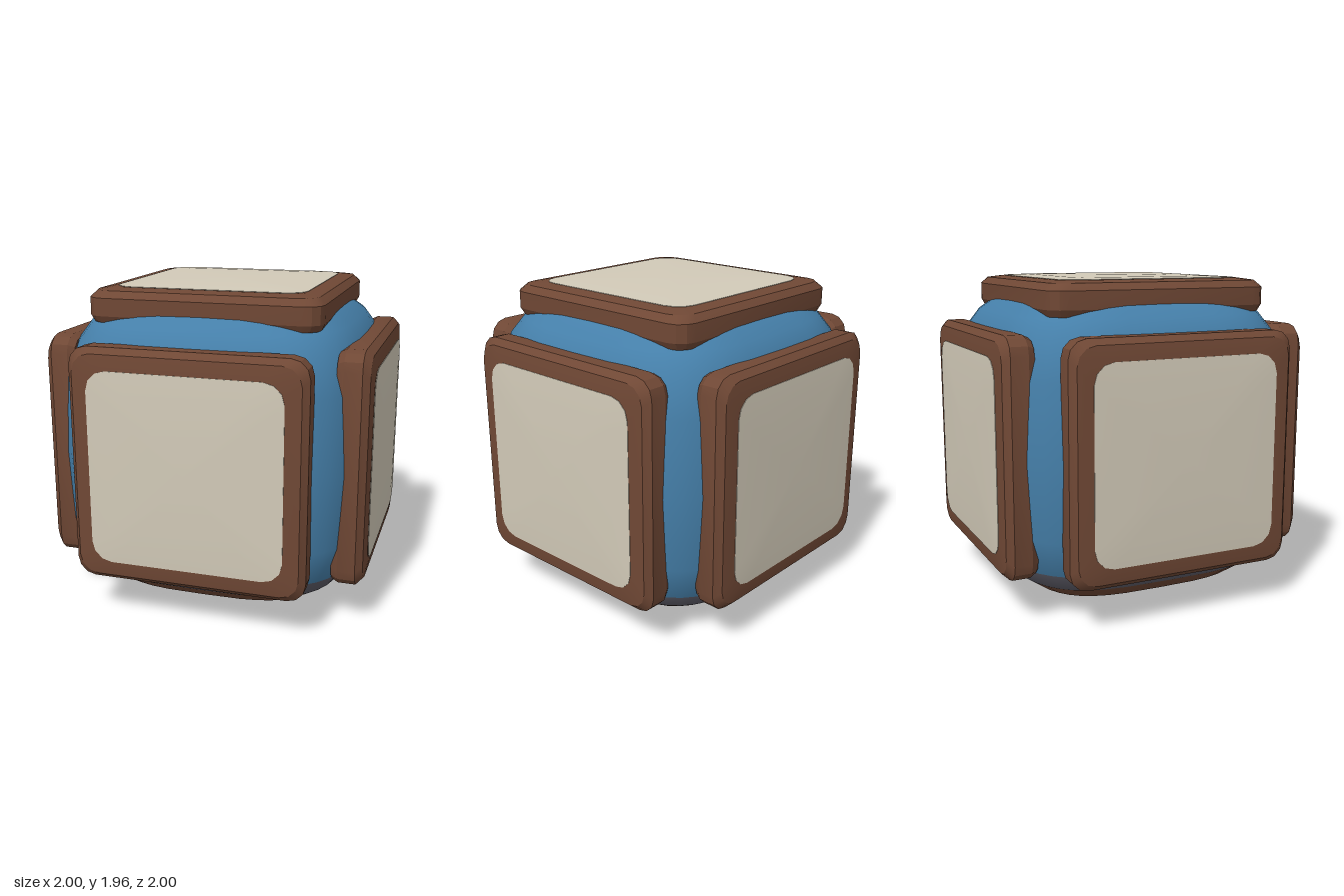
import * as THREE from 'three';
import { toCreasedNormals } from 'three/addons/utils/BufferGeometryUtils.js';

const CENTER = 0.96; // height of the cube's centre
const POWER = 3.5;   // squareness of the swollen core

// Closed skin through rings of [x, y] points stacked along z, with domed caps.
// rings: [{ points, z }], bottomZ / topZ: heights of the cap centres
function loft(rings, bottomZ, topZ) {
  const n = rings[0].points.length;
  const pos = [];
  const index = [];
  rings.forEach(r => r.points.forEach(([x, y]) => pos.push(x, y, r.z)));
  const bottom = pos.length / 3;
  pos.push(0, 0, bottomZ, 0, 0, topZ);
  for (let j = 0; j < n; j++) index.push(bottom, (j + 1) % n, j);
  for (let i = 0; i < rings.length - 1; i++) {
    for (let j = 0; j < n; j++) {
      const a = i * n + j, b = i * n + (j + 1) % n;
      index.push(a, b, b + n, a, b + n, a + n);
    }
  }
  const last = (rings.length - 1) * n;
  for (let j = 0; j < n; j++) index.push(last + j, last + (j + 1) % n, bottom + 1);
  const geo = new THREE.BufferGeometry();
  geo.setAttribute('position', new THREE.Float32BufferAttribute(pos, 3));
  geo.setIndex(index);
  geo.computeVertexNormals();
  return geo;
}

// Square outline with rounded corners, counter-clockwise
function roundedSquare(half, radius, steps = 3) {
  const points = [];
  for (let c = 0; c < 4; c++) {
    const mid = Math.PI / 4 + c * Math.PI / 2;
    const cx = Math.sign(Math.cos(mid)) * (half - radius);
    const cy = Math.sign(Math.sin(mid)) * (half - radius);
    for (let k = 0; k <= steps; k++) {
      const a = (c + k / steps) * Math.PI / 2;
      points.push([cx + radius * Math.cos(a), cy + radius * Math.sin(a)]);
    }
  }
  return points;
}

// Superellipse outline of the core at a given height
function coreRing(z, segments = 40) {
  const s = CENTER * Math.pow(1 - Math.pow(Math.abs(z) / CENTER, POWER), 1 / POWER);
  const bulge = v => s * Math.sign(v) * Math.pow(Math.abs(v), 2 / POWER);
  const points = [];
  for (let j = 0; j < segments; j++) {
    const a = j / segments * Math.PI * 2;
    points.push([bulge(Math.cos(a)), bulge(Math.sin(a))]);
  }
  return { points, z };
}

// Rows of [half size, corner radius, depth]
const squareRings = rows => rows.map(([h, r, z]) => ({ points: roundedSquare(h, r), z }));

export function createModel() {
  const group = new THREE.Group();
  const material = (name, color) => {
    const m = new THREE.MeshStandardMaterial({ color });
    m.name = name;
    return m;
  };
  const brown = material('brown', 0x704835);
  const blue = material('blue', 0x457fa9);
  const blend = material('blueBrownBlend', 0x5c5b66);
  const cream = material('cream', 0xd2cab8);

  // Swollen core: brown underside, narrow transition band, blue above
  const heights = [-0.945, -0.92, -0.87, -0.78, -0.67, -0.45, 0, 0.45, 0.67, 0.78, 0.87, 0.92, 0.945];
  const coreGeo = loft(heights.map(z => coreRing(z)), -CENTER, CENTER);
  const n = 40;
  const brownEnd = n * 3 + 3 * n * 6;
  const bandEnd = brownEnd + n * 6;
  coreGeo.addGroup(0, brownEnd, 0);
  coreGeo.addGroup(brownEnd, bandEnd - brownEnd, 1);
  coreGeo.addGroup(bandEnd, coreGeo.index.count - bandEnd, 2);
  coreGeo.rotateX(-Math.PI / 2);
  const core = new THREE.Mesh(coreGeo, [brown, blend, blue]);
  core.name = 'core';
  core.position.y = CENTER;
  group.add(core);

  // Bevelled frame and slightly domed inlay, shared by all five panels
  const frameGeo = toCreasedNormals(loft(squareRings([
    [0.68, 0.10, 0.79], [0.70, 0.11, 0.83], [0.70, 0.11, 0.935],
    [0.665, 0.11, 0.975], [0.59, 0.12, 0.988],
  ]), 0.79, 0.988), 0.45);
  const inlayGeo = toCreasedNormals(loft(squareRings([
    [0.575, 0.12, 0.984], [0.575, 0.12, 0.991], [0.45, 0.10, 0.998],
  ]), 0.984, 1.0), 0.45);

  function addPanel(name, rx, ry) {
    const panel = new THREE.Group();
    panel.name = name;
    const frame = new THREE.Mesh(frameGeo, brown);
    frame.name = 'frame';
    const inlay = new THREE.Mesh(inlayGeo, cream);
    inlay.name = 'inlay';
    panel.add(frame, inlay);
    panel.rotation.set(rx, ry, 0);
    panel.position.y = CENTER;
    group.add(panel);
  }

  ['frontPanel', 'leftPanel', 'backPanel', 'rightPanel'].forEach((name, i) => addPanel(name, 0, i * Math.PI / 2));
  addPanel('topPanel', -Math.PI / 2, 0);

  return group;
}
